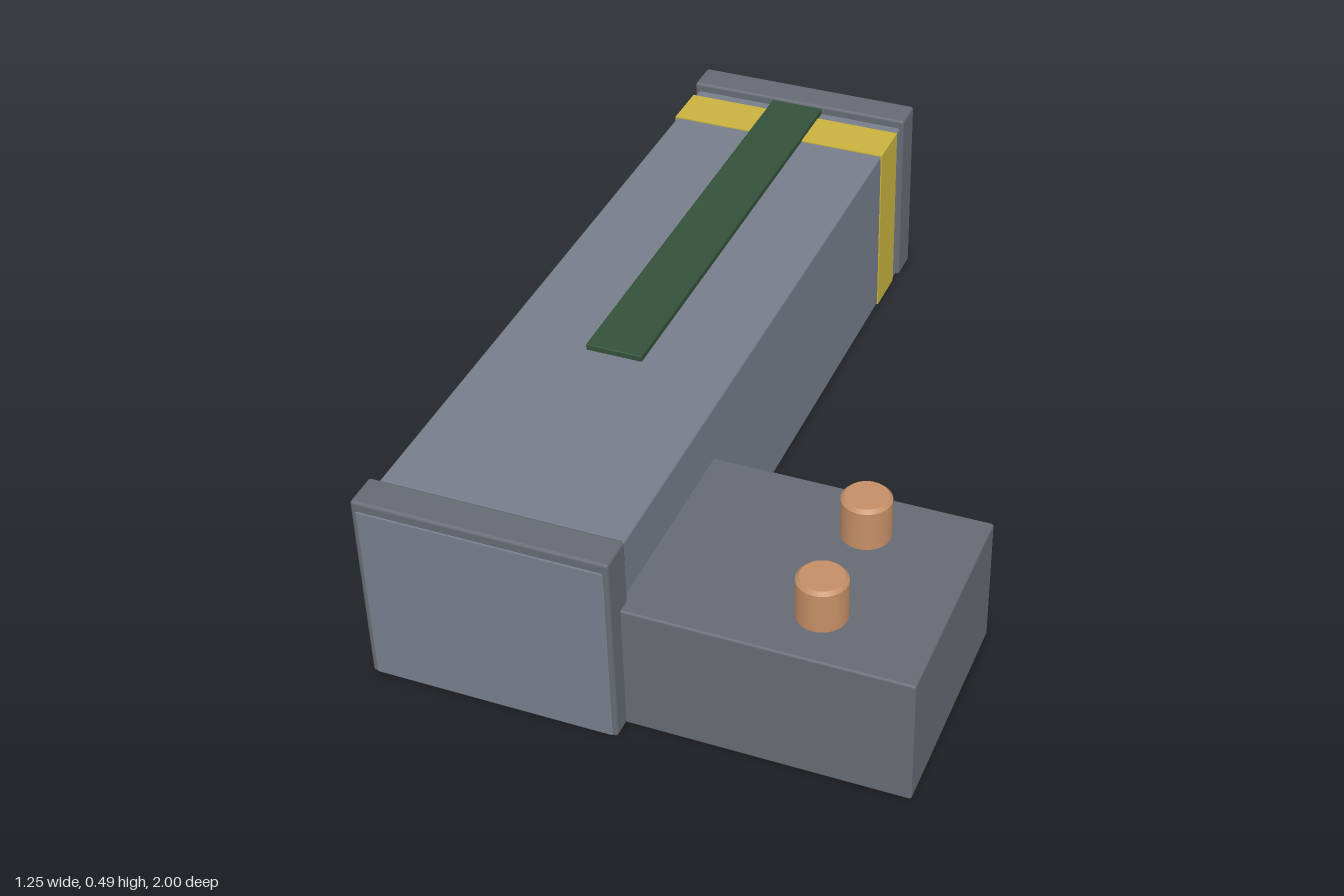
import * as THREE from 'three';
import { RoundedBoxGeometry } from 'three/addons/geometries/RoundedBoxGeometry.js';

const mat = (color) => new THREE.MeshStandardMaterial({ color });

// Box given by its min and max on each axis, with softened edges
function block(name, [x0, x1], [y0, y1], [z0, z1], bevel, material) {
  const w = x1 - x0, h = y1 - y0, d = z1 - z0;
  const geometry = bevel
    ? new RoundedBoxGeometry(w, h, d, 2, bevel)
    : new THREE.BoxGeometry(w, h, d);
  const mesh = new THREE.Mesh(geometry, material);
  mesh.name = name;
  mesh.position.set((x0 + x1) / 2, (y0 + y1) / 2, (z0 + z1) / 2);
  return mesh;
}

export function createModel() {
  const model = new THREE.Group();
  model.name = 'model';
  const bodyGrey = mat(0x767e8b), darkGrey = mat(0x656a73);
  const yellow = mat(0xc9b23f), green = mat(0x34503a), copper = mat(0xc48e66);

  // Long main housing
  model.add(block('housing', [-0.615, -0.04], [0.001, 0.465], [-1, 1], 0.006, bodyGrey));

  // Slightly larger collars at both ends
  for (const [name, z] of [['frontCap', 0.954], ['backCap', -0.954]]) {
    model.add(block(name, [-0.625, -0.03], [0, 0.488], [z - 0.044, z + 0.044], 0.008, darkGrey));
  }

  // Coloured band and the strip along the top
  model.add(block('band', [-0.618, -0.037], [0.002, 0.468], [-0.88, -0.755], 0, yellow));
  model.add(block('topStrip', [-0.4, -0.26], [0.455, 0.48], [-0.915, 0.295], 0.003, green));

  // Low side block
  model.add(block('sideBlock', [-0.06, 0.62], [0, 0.325], [0.4, 0.95], 0.006, darkGrey));

  // Two pins with chamfered tops
  const r = 0.057;
  const profile = [[0, 0], [r, 0], [r, 0.112], [r, 0.112], [r - 0.008, 0.12], [r - 0.008, 0.12], [0, 0.12]]
    .map(([x, y]) => new THREE.Vector2(x, y));
  const pinGeometry = new THREE.LatheGeometry(profile, 32).toNonIndexed();
  // Keep the rims crisp: sides point outward, caps point up or down
  const p = pinGeometry.attributes.position, n = pinGeometry.attributes.normal;
  const v = [0, 1, 2].map(() => new THREE.Vector3()), side = new THREE.Vector3();
  for (let i = 0; i < p.count; i += 3) {
    v.forEach((q, k) => q.fromBufferAttribute(p, i + k));
    const face = new THREE.Vector3().crossVectors(side.subVectors(v[1], v[0]), v[2].clone().sub(v[0])).normalize();
    v.forEach((q, k) => {
      const flat = Math.hypot(face.x, face.z);
      const len = Math.hypot(q.x, q.z) || 1;
      if (flat < 0.01) n.setXYZ(i + k, 0, Math.sign(face.y), 0);
      else n.setXYZ(i + k, (q.x / len) * flat, face.y, (q.z / len) * flat);
    });
  }
  for (const [name, z] of [['frontPin', 0.81], ['backPin', 0.53]]) {
    const pin = new THREE.Mesh(pinGeometry, copper);
    pin.name = name;
    pin.position.set(0.368, 0.311, z);
    model.add(pin);
  }
  return model;
}
